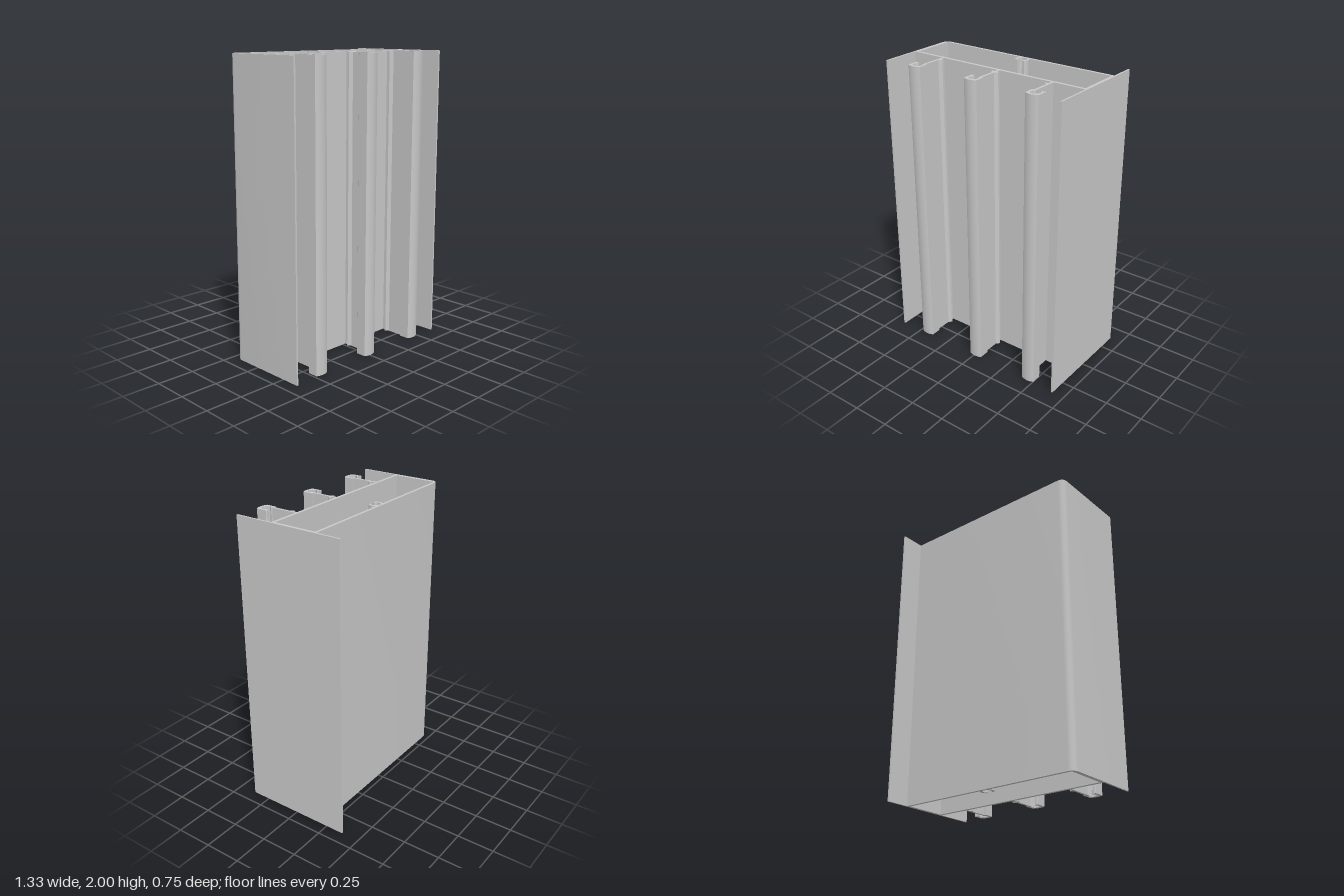
import * as THREE from 'three';
import { toCreasedNormals } from 'three/addons/utils/BufferGeometryUtils.js';

const HEIGHT = 2;

// Plan points are [x, z]; the shape plane uses y = -z so it can be laid flat.
const toPoints = (plan) => plan.map(([x, z]) => new THREE.Vector2(x, -z));

// Points along an arc in plan, angles in degrees from +x towards +z
function arc(cx, cz, r, from, to, steps) {
  return Array.from({ length: steps + 1 }, (_, i) => {
    const a = THREE.MathUtils.degToRad(from + ((to - from) * i) / steps);
    return [cx + r * Math.cos(a), cz + r * Math.sin(a)];
  });
}

export function createModel() {
  const group = new THREE.Group();
  group.name = 'extrudedFrameProfile';
  const aluminium = new THREE.MeshStandardMaterial({ color: 0xc8c8c8 });
  aluminium.name = 'aluminium grey';

  function addExtrusion(name, plan, hole) {
    const shape = new THREE.Shape(toPoints(plan));
    if (hole) shape.holes.push(new THREE.Path(toPoints(hole)));
    const raw = new THREE.ExtrudeGeometry(shape, { depth: HEIGHT, bevelEnabled: false });
    raw.rotateX(-Math.PI / 2);
    const mesh = new THREE.Mesh(toCreasedNormals(raw, 0.4), aluminium);
    mesh.name = name;
    group.add(mesh);
  }

  // Hollow box section with front flanges, a back fin and one rounded corner;
  // the hole runs the opposite way to the outline so its walls face inwards
  addExtrusion('boxSection', [
    [-0.664, 0.375],
    ...arc(-0.622, -0.169, 0.042, 180, 270, 8),
    [0.652, -0.211], [0.652, -0.375], [0.664, -0.375], [0.664, 0.375],
    [0.652, 0.375], [0.652, 0.118], [-0.652, 0.118], [-0.652, 0.375],
  ], [
    [-0.637, 0.098], [0.642, 0.098], [0.642, -0.193], [-0.637, -0.193],
  ]);

  // Split screw boss on the inside of the back wall: two mirrored claws
  const claw = [
    [0.014, -0.193],
    [0.036, -0.193],
    ...arc(0, -0.165, 0.047, -25, 40, 8),
    [0.03, -0.135], [0.017, -0.135], [0.015, -0.142], [0.022, -0.147],
    ...arc(0, -0.165, 0.03, 35, -60, 8),
  ];
  for (const side of [1, -1]) {
    addExtrusion(side > 0 ? 'screwBossLeft' : 'screwBossRight',
      claw.map(([x, z]) => [0.008 + side * x, z]));
  }

  // Stem ending in a hooked screw channel; side mirrors it
  function addHook(name, cx, side, doubleBarb) {
    const innerBarb = doubleBarb
      ? [[0.018, 0.148], [0, 0.149], [0, 0.156], [0.018, 0.175]] : [];
    const plan = [
      [0.018, 0.118], ...innerBarb, [0.018, 0.296],
      // round cavity
      [0.014, 0.303], [0.026, 0.313], [0.032, 0.326], [0.023, 0.347], [0, 0.357],
      [-0.023, 0.347], [-0.032, 0.326], [-0.026, 0.313], [-0.015, 0.301],
      // outer lip
      [-0.021, 0.294], [-0.031, 0.298], [-0.032, 0.285], [-0.04, 0.284], [-0.047, 0.291],
      // curved nose
      [-0.047, 0.361], [-0.03, 0.369], [0, 0.374], [0.03, 0.369], [0.047, 0.361],
      [0.047, 0.29], [0.037, 0.29], [0.034, 0.298],
      // barb
      [0.034, 0.175], [0.052, 0.156], [0.052, 0.149], [0.034, 0.148], [0.034, 0.118],
    ];
    addExtrusion(name, plan.map(([x, z]) => [cx + side * x, z]));
  }
  addHook('rightHook', -0.438, 1, false);
  addHook('middleHook', 0.008, 1, true);
  addHook('leftHook', 0.454, -1, false);

  return group;
}
